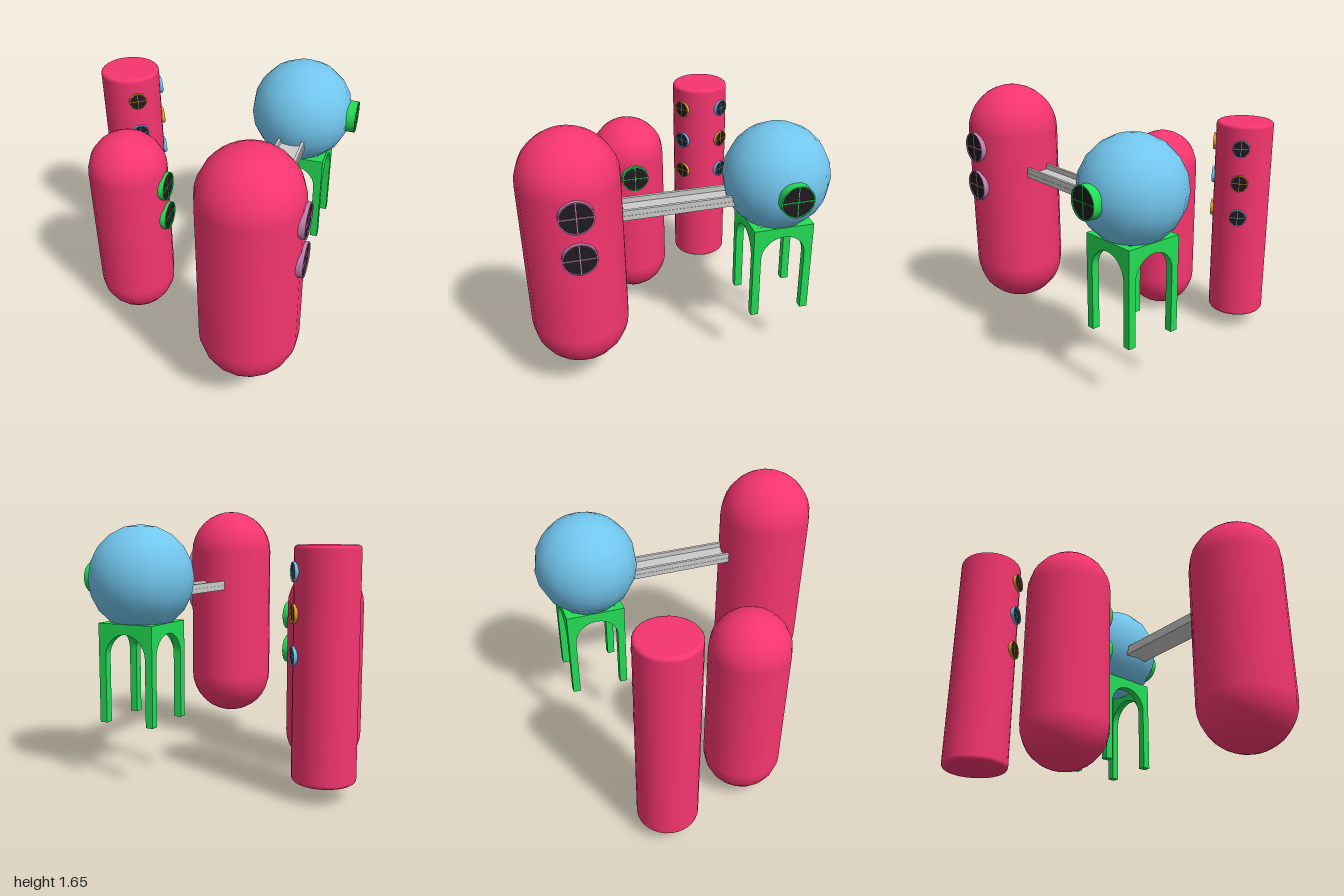
import * as THREE from 'three';

const FACING = 0.597; // shared heading of the main parts, turned from +z towards +x
const mat = (color) => new THREE.MeshStandardMaterial({ color });
const PINK = mat(0xf5356f), BLUE = mat(0x72c6ee), GREEN = mat(0x22dd55);
const PURPLE = mat(0xc07fae), ORANGE = mat(0xe0a030), GREY = mat(0xcccccc), GLASS = mat(0x201a20);

function add(parent, name, geometry, material, x = 0, y = 0, z = 0) {
  const mesh = new THREE.Mesh(geometry, material);
  mesh.name = name;
  mesh.position.set(x, y, z);
  parent.add(mesh);
  return mesh;
}

// Round window looking along +z: deep rim, dark pane and a thin cross
function addWindow(parent, y, angle, r, back, front, rimMaterial) {
  const win = new THREE.Group();
  win.name = 'window';
  win.position.y = y;
  win.rotation.y = angle;
  const t = r * 0.07;
  const profile = [[r, back], [r, front], [r - t, front], [r - t, back]]
    .map(([px, py]) => new THREE.Vector2(px, py));
  // split into straight sections so the rim edges stay sharp
  for (let i = 0; i < 3; i++) {
    const rim = add(win, 'windowRim', new THREE.LatheGeometry([profile[i], profile[i + 1]], 32), rimMaterial);
    rim.rotation.x = Math.PI / 2;
  }
  add(win, 'windowPane', new THREE.CircleGeometry(r - t / 2, 32), GLASS, 0, 0, front - 0.006);
  add(win, 'windowBar', new THREE.BoxGeometry(2 * r - t, t * 0.8, 0.005), rimMaterial, 0, 0, front - 0.004);
  add(win, 'windowBar', new THREE.BoxGeometry(t * 0.8, 2 * r - t, 0.005), rimMaterial, 0, 0, front - 0.004);
  parent.add(win);
}

function group(parent, name, x, z) {
  const g = new THREE.Group();
  g.name = name;
  g.position.set(x, 0, z);
  parent.add(g);
  return g;
}

// Upright capsule tower with windows up its face
function addCapsuleTower(root, name, x, z, r, y0, y1, windows, wr, rim) {
  const tower = group(root, name, x, z);
  tower.rotation.y = FACING;
  add(tower, 'capsuleBody', new THREE.CapsuleGeometry(r, y1 - y0 - 2 * r, 8, 18), PINK, 0, (y0 + y1) / 2, 0);
  for (const y of windows) addWindow(tower, y, 0, wr, r * 0.88, r + 0.016, rim);
}

// One side of the stand: a panel with a round-headed arch cut out
function archPanel(width, leg, y0, y1, crown) {
  const h = width / 2, r = h - leg, spring = crown - r;
  const s = new THREE.Shape();
  s.moveTo(-h, y0);
  s.lineTo(-r, y0);
  s.lineTo(-r, spring);
  s.absarc(0, spring, r, Math.PI, 0, true);
  s.lineTo(r, y0);
  s.lineTo(h, y0);
  s.lineTo(h, y1);
  s.lineTo(-h, y1);
  s.closePath();
  return new THREE.ExtrudeGeometry(s, { depth: leg, bevelEnabled: false, curveSegments: 16 });
}

export function createModel() {
  const root = new THREE.Group();
  root.name = 'podHabitat';

  // Two capsule towers
  addCapsuleTower(root, 'largeCapsuleTower', -0.49, 0.695, 0.29, 0.175, 1.658, [1.285, 1.03], 0.097, PURPLE);
  addCapsuleTower(root, 'smallCapsuleTower', -0.597, -0.33, 0.24, 0.005, 1.3, [0.975, 0.755], 0.088, GREEN);

  // Straight cylinder tower with softened rims
  const cylinder = group(root, 'cylinderTower', -0.243, -0.815);
  const r = 0.185, lo = 0.105, hi = 1.437, b = 0.022;
  const profile = [new THREE.Vector2(0, lo), new THREE.Vector2(r - b - 0.002, lo)];
  for (let i = 0; i <= 4; i++) {
    const a = (i / 4) * Math.PI / 2;
    profile.push(new THREE.Vector2(r - b + b * Math.sin(a), lo + b - b * Math.cos(a)));
  }
  for (let i = 0; i <= 4; i++) {
    const a = (i / 4) * Math.PI / 2;
    profile.push(new THREE.Vector2(r - b + b * Math.cos(a), hi - b + b * Math.sin(a)));
  }
  profile.push(new THREE.Vector2(r - b - 0.002, hi), new THREE.Vector2(0, hi));
  add(cylinder, 'cylinderBody', new THREE.LatheGeometry(profile, 32), PINK);
  // Two window columns with alternating rim colours
  [1.29, 1.06, 0.825].forEach((y, i) => {
    addWindow(cylinder, y, 1.21, 0.055, 0.17, 0.198, i % 2 ? ORANGE : BLUE);
    addWindow(cylinder, y, -0.36, 0.055, 0.17, 0.198, i % 2 ? BLUE : ORANGE);
  });

  // Sphere pod on its arched stand
  const pod = group(root, 'spherePod', 0.512, 0.018);
  pod.rotation.y = FACING;
  add(pod, 'sphereBody', new THREE.SphereGeometry(0.32, 16, 10), BLUE, 0, 1.233, 0);
  addWindow(pod, 1.23, 0, 0.099, 0.285, 0.352, GREEN);
  const stand = group(pod, 'archedStand', 0, 0);
  const panel = archPanel(0.372, 0.048, 0.37, 0.972, 0.91);
  panel.translate(0, 0, 0.186 - 0.048);
  for (let i = 0; i < 4; i++) add(stand, 'archPanel', panel, GREEN).rotation.y = i * Math.PI / 2;

  // Walkway joining the large tower and the sphere pod
  const bridge = group(root, 'walkway', 0.01, 0.357);
  bridge.rotation.y = FACING;
  add(bridge, 'walkwayDeck', new THREE.BoxGeometry(0.86, 0.03, 0.168), GREY, 0, 1.12, 0);
  for (const side of [-1, 1]) {
    add(bridge, 'walkwayRail', new THREE.BoxGeometry(0.86, 0.034, 0.018), GREY, 0, 1.15, side * 0.073);
  }
  return root;
}
